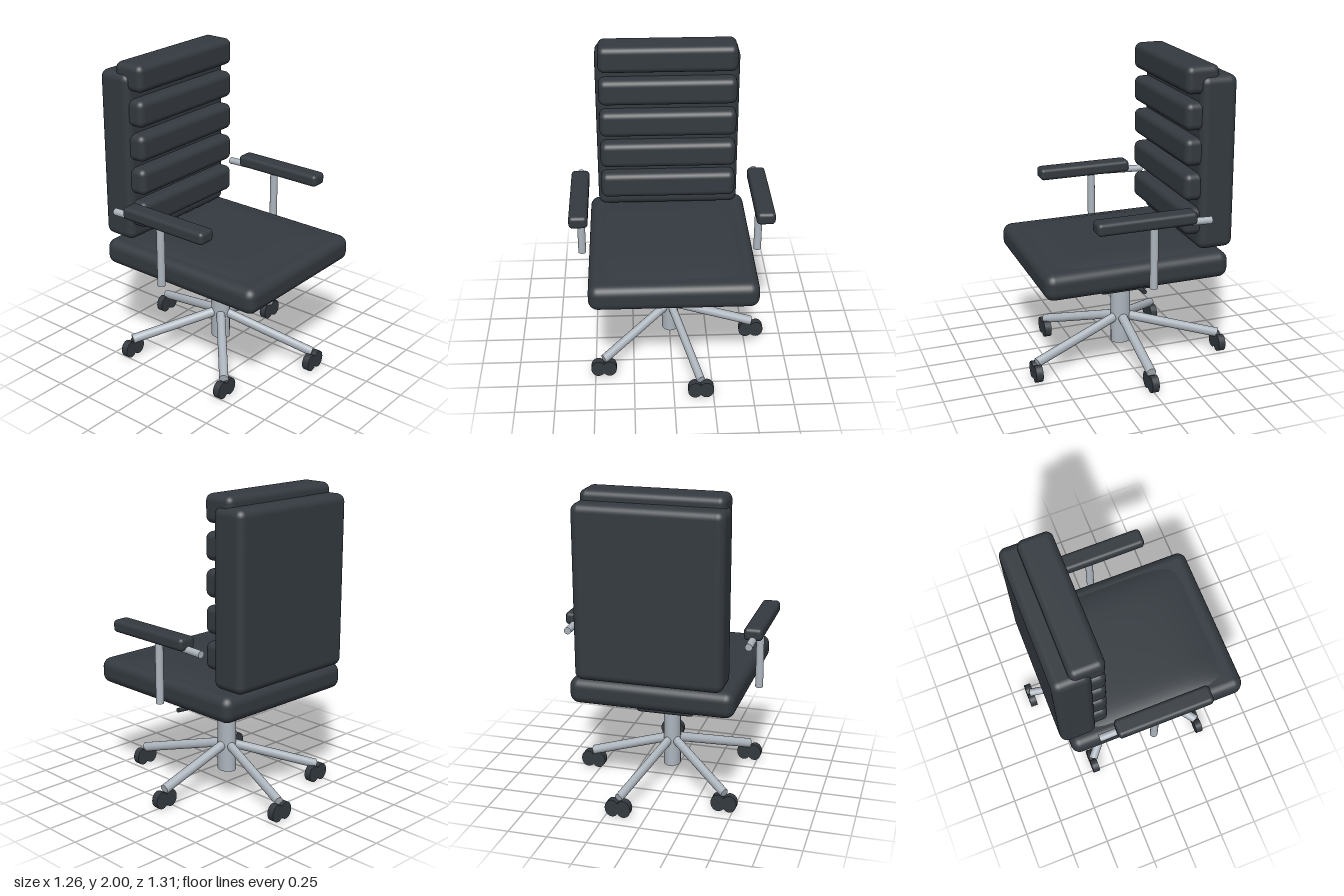
import * as THREE from 'three';
import { RoundedBoxGeometry } from 'three/addons/geometries/RoundedBoxGeometry.js';

export function createModel() {
  const chair = new THREE.Group();
  chair.name = 'officeChair';

  const leather = new THREE.MeshStandardMaterial({ color: 0x343a40 });
  leather.name = 'dark leather';
  const metal = new THREE.MeshStandardMaterial({ color: 0xadb5bd });
  metal.name = 'brushed metal';

  const add = (parent, name, geometry, material, x = 0, y = 0, z = 0) => {
    const mesh = new THREE.Mesh(geometry, material);
    mesh.name = name;
    mesh.position.set(x, y, z);
    parent.add(mesh);
    return mesh;
  };

  // Rounded box given by its lower and upper limits on each axis
  const pad = (parent, name, [x0, x1], [y0, y1], [z0, z1], radius) =>
    add(parent, name, new RoundedBoxGeometry(x1 - x0, y1 - y0, z1 - z0, 5, radius), leather,
      (x0 + x1) / 2, (y0 + y1) / 2, (z0 + z1) / 2);

  // Straight rod between two points
  const rod = (parent, name, a, b, radius, material) => {
    const from = new THREE.Vector3(...a), to = new THREE.Vector3(...b);
    const dir = to.clone().sub(from);
    const mesh = add(parent, name, new THREE.CylinderGeometry(radius, radius, dir.length(), 20), material);
    mesh.position.copy(from).add(to).multiplyScalar(0.5);
    mesh.quaternion.setFromUnitVectors(new THREE.Vector3(0, 1, 0), dir.normalize());
    return mesh;
  };

  // Seat: rounded slab with a crowned top panel
  pad(chair, 'seat', [-0.52, 0.52], [0.67, 0.838], [-0.53, 0.655], 0.06);
  const crown = new THREE.PlaneGeometry(2, 2, 24, 24).rotateX(-Math.PI / 2);
  const p = crown.attributes.position;
  for (let i = 0; i < p.count; i++) {
    const u = p.getX(i), v = p.getZ(i);
    const edge = (1 - u ** 8) * (1 - v ** 4);
    p.setXYZ(i, u * 0.48, 0.822 + 0.038 * edge, 0.06 + v * 0.565);
  }
  crown.computeVertexNormals();
  add(chair, 'seatCrown', crown, leather);

  // Backrest shell with five horizontal cushions
  pad(chair, 'backrest', [-0.462, 0.462], [0.85, 1.94], [-0.58, -0.345], 0.05);
  for (let i = 0; i < 5; i++) {
    const y = 0.95 + i * 0.22;
    pad(chair, 'backCushion', [-0.44, 0.44], [y, y + 0.172], [-0.47, -0.255], 0.042);
  }

  // Armrests: soft pad on a bent tube
  for (const side of [1, -1]) {
    const arm = new THREE.Group();
    arm.name = side > 0 ? 'leftArmrest' : 'rightArmrest';
    chair.add(arm);
    const x = side * 0.572;
    pad(arm, 'armPad', [x - 0.058, x + 0.058], [1.09, 1.17], [-0.26, 0.37], 0.025);
    rod(arm, 'armPost', [x, 0.7, 0], [x, 1.1, 0], 0.025, metal);
    rod(arm, 'armRail', [x, 1.105, 0], [x, 1.09, -0.37], 0.023, metal);
  }

  // Tilt mechanism and lever
  pad(chair, 'tiltMechanism', [-0.187, 0.187], [0.52, 0.64], [-0.197, 0.197], 0.02);
  rod(chair, 'lever', [0.17, 0.597, 0], [0.428, 0.616, 0], 0.014, leather);

  // Base: column and five legs with twin casters, slightly narrower in x
  const base = new THREE.Group();
  base.name = 'base';
  base.scale.x = 0.833;
  chair.add(base);
  rod(base, 'column', [0, 0.1, 0], [0, 0.68, 0], 0.066, metal);
  for (let i = 0; i < 5; i++) {
    const a = i * Math.PI * 2 / 5;
    const c = Math.cos(a), s = Math.sin(a);
    rod(base, 'leg', [0, 0.29, 0], [c * 0.66, 0.12, s * 0.66], 0.031, metal);
    for (const side of [-1, 1]) {
      const wheel = new THREE.CylinderGeometry(0.056, 0.056, 0.046, 20).rotateX(Math.PI / 2);
      add(base, 'caster', wheel, leather, c * 0.66 + side * 0.043, 0.06, s * 0.665);
    }
  }

  return chair;
}
